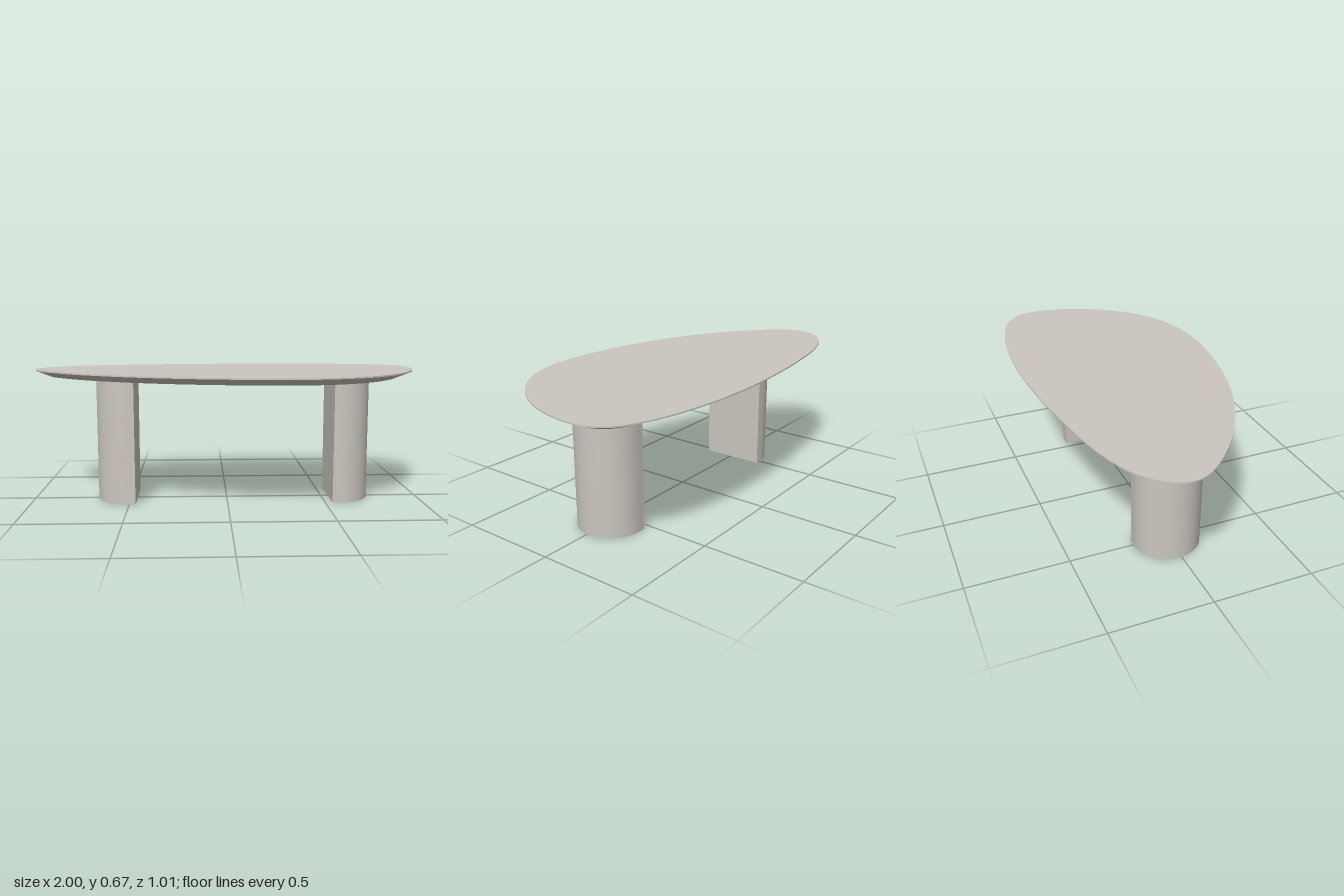
import * as THREE from 'three';
import { toCreasedNormals } from 'three/addons/utils/BufferGeometryUtils.js';

const TOP = 0.667, LIP = 0.66, UNDER = 0.627, INSET = 0.08, STEPS = 144;

// Asymmetric pebble outline of the tabletop as [x, z]
const OUTLINE = [
  [-1, -0.14], [-0.965, -0.23], [-0.86, -0.325], [-0.67, -0.4], [-0.4, -0.453],
  [-0.1, -0.49], [0.22, -0.506], [0.52, -0.488], [0.78, -0.435], [0.93, -0.36],
  [0.99, -0.27], [1, -0.19], [0.98, -0.05], [0.935, 0.08], [0.86, 0.21],
  [0.75, 0.335], [0.62, 0.425], [0.46, 0.483], [0.27, 0.504], [0, 0.477],
  [-0.25, 0.42], [-0.5, 0.325], [-0.75, 0.178], [-0.92, 0.025], [-0.982, -0.06],
];

// Flat cap over a ring of points, facing up (dir 1) or down (dir -1)
function cap(ring, y, dir) {
  const shape = new THREE.Shape(ring.map(p => new THREE.Vector2(p.x, -dir * p.z)));
  return new THREE.ShapeGeometry(shape).rotateX(-dir * Math.PI / 2).translate(0, y, 0);
}

// Smooth closed band from an upper ring to a lower ring
function band(upper, yU, lower, yL) {
  const n = upper.length, pos = [], index = [];
  for (let i = 0; i < n; i++) {
    pos.push(upper[i].x, yU, upper[i].z, lower[i].x, yL, lower[i].z);
    const a = 2 * i, b = 2 * ((i + 1) % n);
    index.push(a, b, a + 1, b, b + 1, a + 1);
  }
  const g = new THREE.BufferGeometry();
  g.setAttribute('position', new THREE.Float32BufferAttribute(pos, 3));
  g.setIndex(index);
  g.computeVertexNormals();
  return g;
}

// D-shaped column: flat face at x = 0, rounded towards +x
function legGeometry() {
  const r = 0.167, straight = 0.035;
  const s = new THREE.Shape();
  s.moveTo(0, -r);
  s.lineTo(straight, -r);
  s.absarc(straight, 0, r, -Math.PI / 2, Math.PI / 2, false);
  s.lineTo(0, r);
  s.closePath();
  const g = new THREE.ExtrudeGeometry(s, { depth: UNDER, bevelEnabled: false, curveSegments: 40 });
  return toCreasedNormals(g.rotateX(-Math.PI / 2), 0.5);
}

export function createModel() {
  const model = new THREE.Group();
  model.name = 'coffeeTable';
  const stone = new THREE.MeshStandardMaterial({ color: 0xcbc6bf });
  stone.name = 'warm grey';

  const add = (parent, name, geometry) => {
    const mesh = new THREE.Mesh(geometry, stone);
    mesh.name = name;
    parent.add(mesh);
    return mesh;
  };

  // Tabletop: thin lip with a bevel running in underneath
  const curve = new THREE.CatmullRomCurve3(
    OUTLINE.map(([x, z]) => new THREE.Vector3(x, 0, z)), true, 'centripetal');
  const outer = [], inner = [];
  for (let i = 0; i < STEPS; i++) {
    const p = curve.getPointAt(i / STEPS), t = curve.getTangentAt(i / STEPS);
    outer.push(p);
    inner.push(new THREE.Vector3(p.x - t.z * INSET, 0, p.z + t.x * INSET));
  }
  const tabletop = new THREE.Group();
  tabletop.name = 'tabletop';
  model.add(tabletop);
  add(tabletop, 'topSurface', cap(outer, TOP, 1));
  add(tabletop, 'edgeLip', band(outer, TOP, outer, LIP));
  add(tabletop, 'underBevel', band(outer, LIP, inner, UNDER));
  add(tabletop, 'underside', cap(inner, UNDER, -1));

  // Legs: flat faces turned towards each other
  const leg = legGeometry();
  add(model, 'leftLeg', leg).position.set(0.537, 0, -0.011);
  const rightLeg = add(model, 'rightLeg', leg);
  rightLeg.position.set(-0.468, 0, -0.011);
  rightLeg.rotation.y = Math.PI;

  return model;
}
